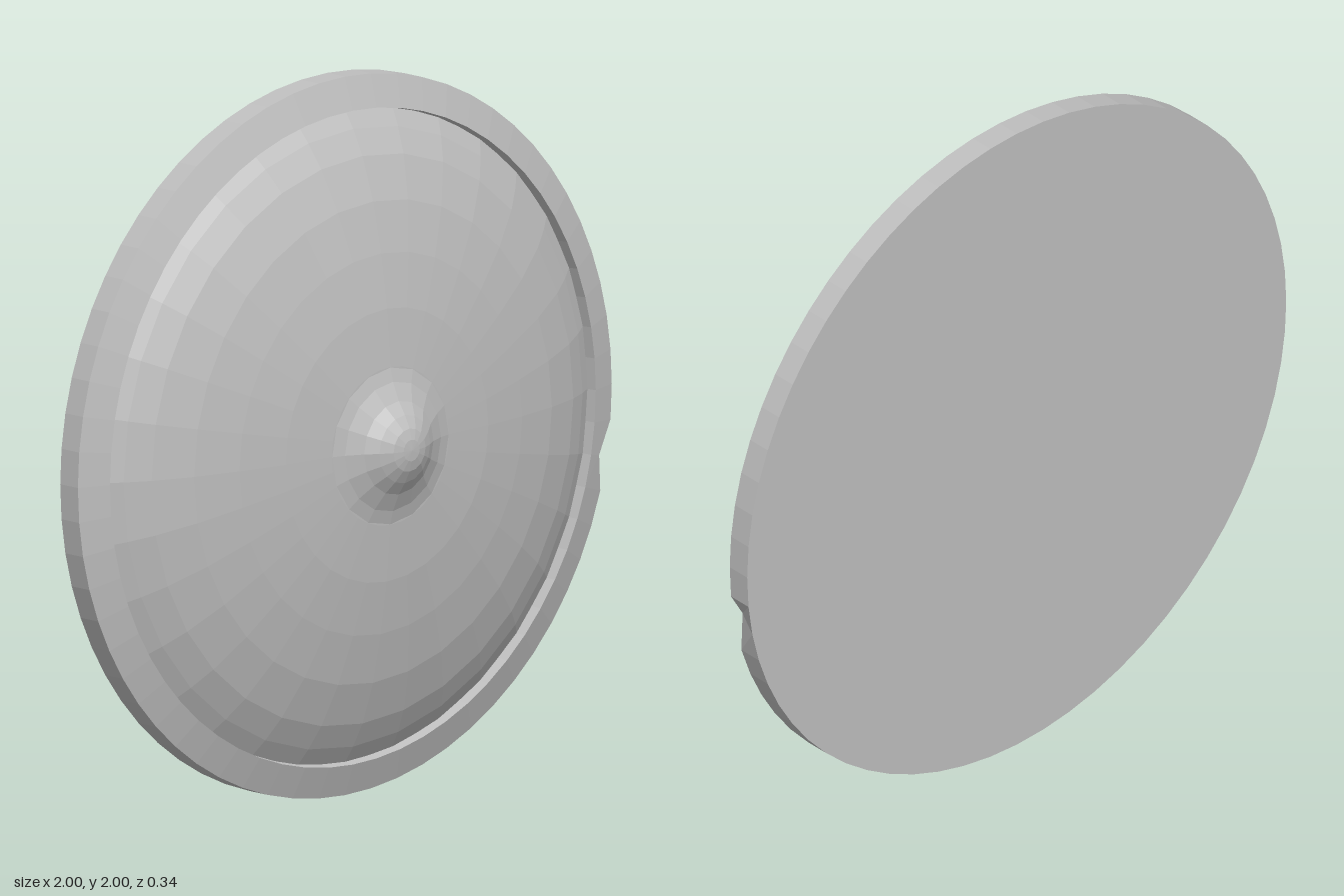
import * as THREE from 'three';

const steel = new THREE.MeshStandardMaterial({ color: 0xbfbfbf, flatShading: true });
steel.name = 'grey steel';

// Revolves a [radius, depth] profile around the z axis; profiles run from back to front.
function turned(name, profile, sides) {
  const points = profile.map(([r, z]) => new THREE.Vector2(r, z));
  const geometry = new THREE.LatheGeometry(points, sides);
  geometry.rotateX(Math.PI / 2);
  const mesh = new THREE.Mesh(geometry, steel);
  mesh.name = name;
  return mesh;
}

export function createModel() {
  const shield = new THREE.Group();
  shield.name = 'roundShield';

  // Flat back, outer edge, bevelled front lip and a shallow inner groove wall
  const rim = turned('rim', [[0, -0.17], [1, -0.17], [1, -0.1], [0.91, -0.068], [0.905, -0.11]], 64);

  // Battle nick: push one front corner of the rim inwards
  const pos = rim.geometry.attributes.position;
  const nickAngle = -Math.PI / 16;
  for (let i = 0; i < pos.count; i++) {
    const x = pos.getX(i), y = pos.getY(i), z = pos.getZ(i);
    const isFrontCorner = Math.hypot(x, y) > 0.98 && z > -0.12;
    if (isFrontCorner && Math.abs(Math.atan2(y, x) - nickAngle) < 0.02) {
      pos.setXYZ(i, x * 0.956, y * 0.956, -0.084);
    }
  }

  // Shallow domed face
  const dome = turned('dome', [
    [0.91, -0.1], [0.86, -0.067], [0.79, -0.03], [0.67, 0.012], [0.53, 0.043],
    [0.38, 0.067], [0.22, 0.081], [0, 0.086],
  ], 32);

  // Central boss with a flared foot
  const boss = turned('boss', [
    [0.23, 0.078], [0.18, 0.091], [0.13, 0.114], [0.095, 0.138], [0.06, 0.157], [0.03, 0.165], [0, 0.167],
  ], 16);

  shield.add(rim, dome, boss);
  shield.position.y = 1;

  const model = new THREE.Group();
  model.name = 'shieldModel';
  model.add(shield);
  return model;
}
